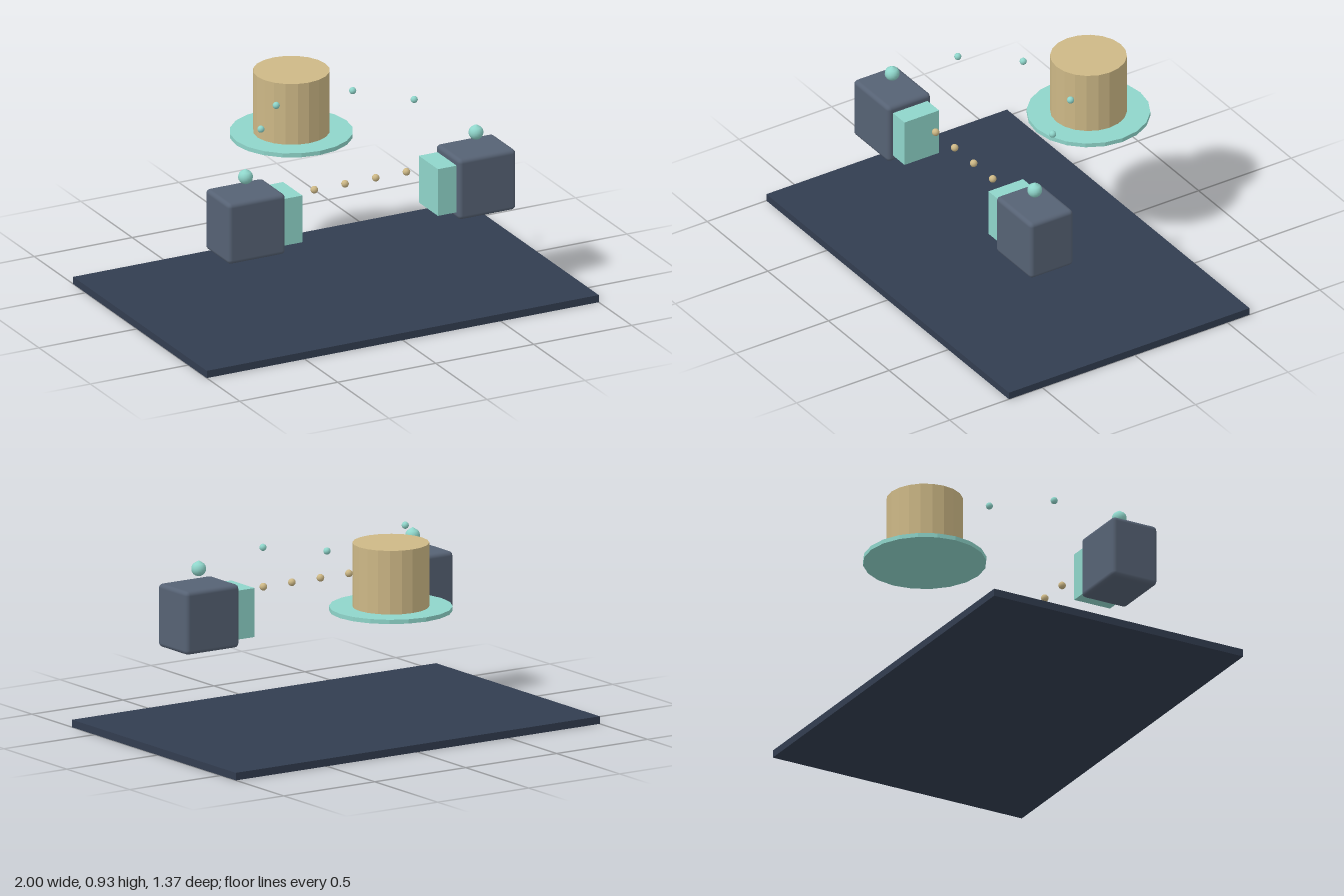
import * as THREE from 'three';
import { RoundedBoxGeometry } from 'three/addons/geometries/RoundedBoxGeometry.js';

const paint = (color, flatShading = false) => new THREE.MeshStandardMaterial({ color, flatShading });

export function createModel() {
  const group = new THREE.Group();
  const navy = paint(0x323d50);
  const slate = paint(0x566274);
  const teal = paint(0x8fd5ca);
  const tealFlat = paint(0x8fd5ca, true);
  const tan = paint(0xcdb886);
  const tanFlat = paint(0xcdb886, true);

  const add = (name, geometry, material, x, y, z) => {
    const mesh = new THREE.Mesh(geometry, material);
    mesh.name = name;
    mesh.position.set(x, y, z);
    group.add(mesh);
    return mesh;
  };

  // Floor slab
  add('floor', new THREE.BoxGeometry(2, 0.035, 1.3), navy, 0, 0.0175, 0.03);

  // Drum standing on a wide thin disc
  add('disc', new THREE.CylinderGeometry(0.28, 0.28, 0.02, 20), tealFlat, 0, 0.627, -0.405);
  add('drum', new THREE.CylinderGeometry(0.174, 0.174, 0.296, 20), tanFlat, 0, 0.784, -0.405);

  // Teardrop finial: round below, drawn to a point at the top
  const r = 0.034;
  const profile = [];
  for (let i = 0; i <= 8; i++) {
    const a = -Math.PI / 2 + (i / 8) * Math.PI * 0.75;
    profile.push(new THREE.Vector2(i ? r * Math.cos(a) : 0, r * Math.sin(a)));
  }
  profile.push(new THREE.Vector2(0, 0.039));
  const finial = new THREE.LatheGeometry(profile, 16);

  const cabinet = new RoundedBoxGeometry(0.293, 0.293, 0.234, 2, 0.02);
  const panel = new THREE.BoxGeometry(0.13, 0.227, 0.187);
  const lamp = new THREE.SphereGeometry(0.0165, 12, 8);

  // Mirrored cabinets with inner panels, finials and floating lamps
  for (const [side, s] of [['left', 1], ['right', -1]]) {
    add(side + 'Cabinet', cabinet, slate, s * 0.588, 0.542, 0.271);
    add(side + 'InnerPanel', panel, teal, s * 0.411, 0.542, 0.269);
    add(side + 'Finial', finial, teal, s * 0.588, 0.759, 0.271);
    add(side + 'FrontLamp', lamp, teal, s * 0.391, 0.875, 0.045);
    add(side + 'BackLamp', lamp, teal, s * 0.195, 0.875, -0.18);
  }

  // Row of beads between the cabinets
  const bead = new THREE.SphereGeometry(0.0175, 12, 8);
  for (let i = 0; i < 4; i++) {
    add('bead' + (i + 1), bead, tan, -0.235 + i * 0.1567, 0.63, 0.267);
  }

  return group;
}
